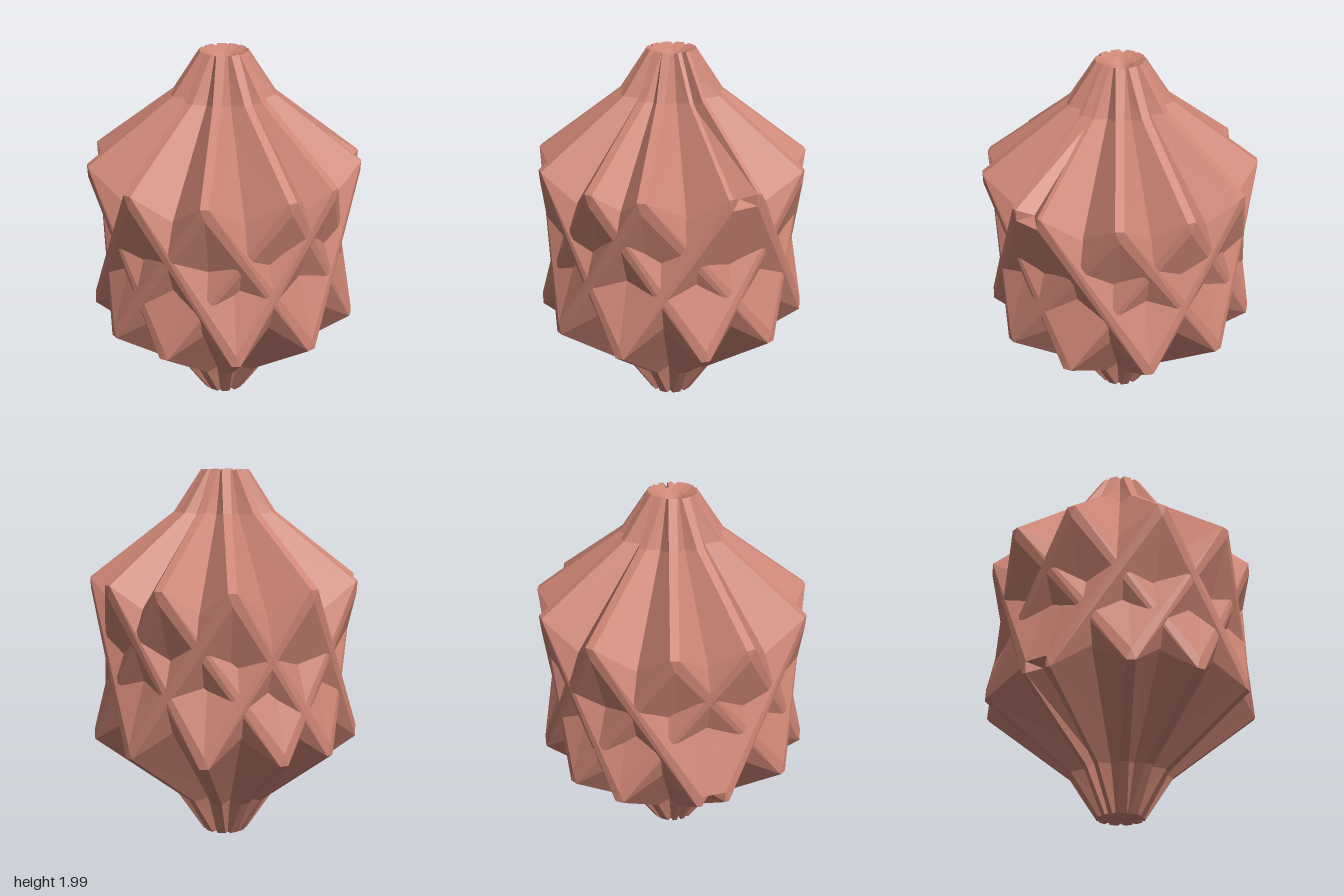
import * as THREE from 'three';

// Ridge tips around the upright axis, in degrees; each chain zigzags upper tip, lower tip, ...
const CHAIN_A = [56, 101, 147, 193, 247, 294, 344, 34, 91, 135, 180, 226];
const CHAIN_B = [45, 0, 315, 270, 217, 165, 113, 66, 12, 326, 281, 236];
// Radius and height along a ridge and along a facet's centre line, from the tip to the pole
const RIDGE = [[0.72, 1.43], [0.27, 1.775], [0.125, 1.995]];
const GROOVE = [[0.66, 1.4], [0.2, 1.755], [0.1, 1.975]];
const VALLEY = [[0.72, 0.63], [0.56, 1.1], [0.16, 1.75], [0.085, 1.97]];
const BEVEL = 0.022;

// Point at an angle, radius and height, shifted sideways along the tangent
function polar(deg, [r, y], up, side = 0) {
  const a = THREE.MathUtils.degToRad(deg);
  return new THREE.Vector3(
    r * Math.cos(a) - side * Math.sin(a), up ? y : 2 - y, r * Math.sin(a) + side * Math.cos(a));
}

function quad(list, a, b, c, d) {
  list.push(a, b, c, a, c, d);
}

// Band between two lines of points
function strip(list, p, q) {
  for (let i = 0; i + 1 < p.length; i++) quad(list, p[i], p[i + 1], q[i + 1], q[i]);
}

function meshFrom(points, name, material) {
  const geometry = new THREE.BufferGeometry().setFromPoints(points);
  geometry.computeVertexNormals();
  const mesh = new THREE.Mesh(geometry, material);
  mesh.name = name;
  return mesh;
}

export function createModel() {
  const group = new THREE.Group();
  group.name = 'starCrystal';
  const material = new THREE.MeshStandardMaterial({
    color: 0xcd8575, flatShading: true, side: THREE.DoubleSide,
  });

  // Pairs of upper and lower tip joined by a slanting edge
  const edges = [];
  for (const chain of [CHAIN_A, CHAIN_B]) {
    for (let i = 0; i + 1 < chain.length; i++) {
      edges.push(i % 2 ? [chain[i + 1], chain[i]] : [chain[i], chain[i + 1]]);
    }
  }

  const facets = [], bevels = [], crowns = [];

  for (const [top, bottom] of edges) {
    const turn = Math.sign(((bottom - top + 540) % 360) - 180);
    const rims = [];
    // The lower half repeats the upper half upside down with the tips swapped
    for (const up of [true, false]) {
      const [tip, valley, s] = up ? [top, bottom, turn] : [bottom, top, -turn];
      const ridge = RIDGE.map((p) => polar(tip, p, up, BEVEL * s));
      const middle = RIDGE.map((p) => polar(tip, p, up));
      const centre = VALLEY.map((p) => polar(valley, p, up));
      // Half of a kite facet, folded along its centre line
      quad(facets, ridge[0], ridge[1], centre[2], centre[1]);
      facets.push(ridge[0], centre[1], centre[0]);
      // Crown flank, rim and dimple
      const lipTip = polar(tip, [0.07, 1.97], up);
      const lipValley = polar(valley, [0.06, 1.955], up);
      quad(crowns, ridge[1], ridge[2], centre[3], centre[2]);
      quad(crowns, ridge[2], centre[3], lipValley, lipTip);
      crowns.push(ridge[2], middle[2], lipTip, lipTip, lipValley, polar(0, [0, 1.92], up));
      // Flat ridge running from the tip to the crown, and its blunt end
      strip(bevels, ridge, middle);
      bevels.push(ridge[0], middle[0], polar(tip, [0.72, 1.37], up));
      rims.push(ridge[0], centre[0]);
    }
    // Flat band along the slanting edge
    quad(bevels, rims[0], rims[1], rims[2], rims[3]);
  }

  // Twin tips, split by a groove, where the ends of the two chains meet
  for (const [a, b, up] of [[45, 56, true], [226, 236, false]]) {
    const line = (deg, profile, side) => profile.map((p) => polar(deg, p, side));
    const groove = line((a + b) / 2, GROOVE, up);
    strip(facets, line(a, VALLEY, !up), line(b, VALLEY, !up));
    for (const deg of [a, b]) {
      const ridge = line(deg, RIDGE, up);
      strip(facets, ridge, groove);
      facets.push(ridge[0], groove[0], polar(deg, VALLEY[0], !up));
    }
    facets.push(groove[0], polar(a, VALLEY[0], !up), polar(b, VALLEY[0], !up));
  }

  group.add(
    meshFrom(facets, 'kiteFacets', material),
    meshFrom(bevels, 'bevelledRidges', material),
    meshFrom(crowns, 'poleCrowns', material),
  );
  return group;
}
